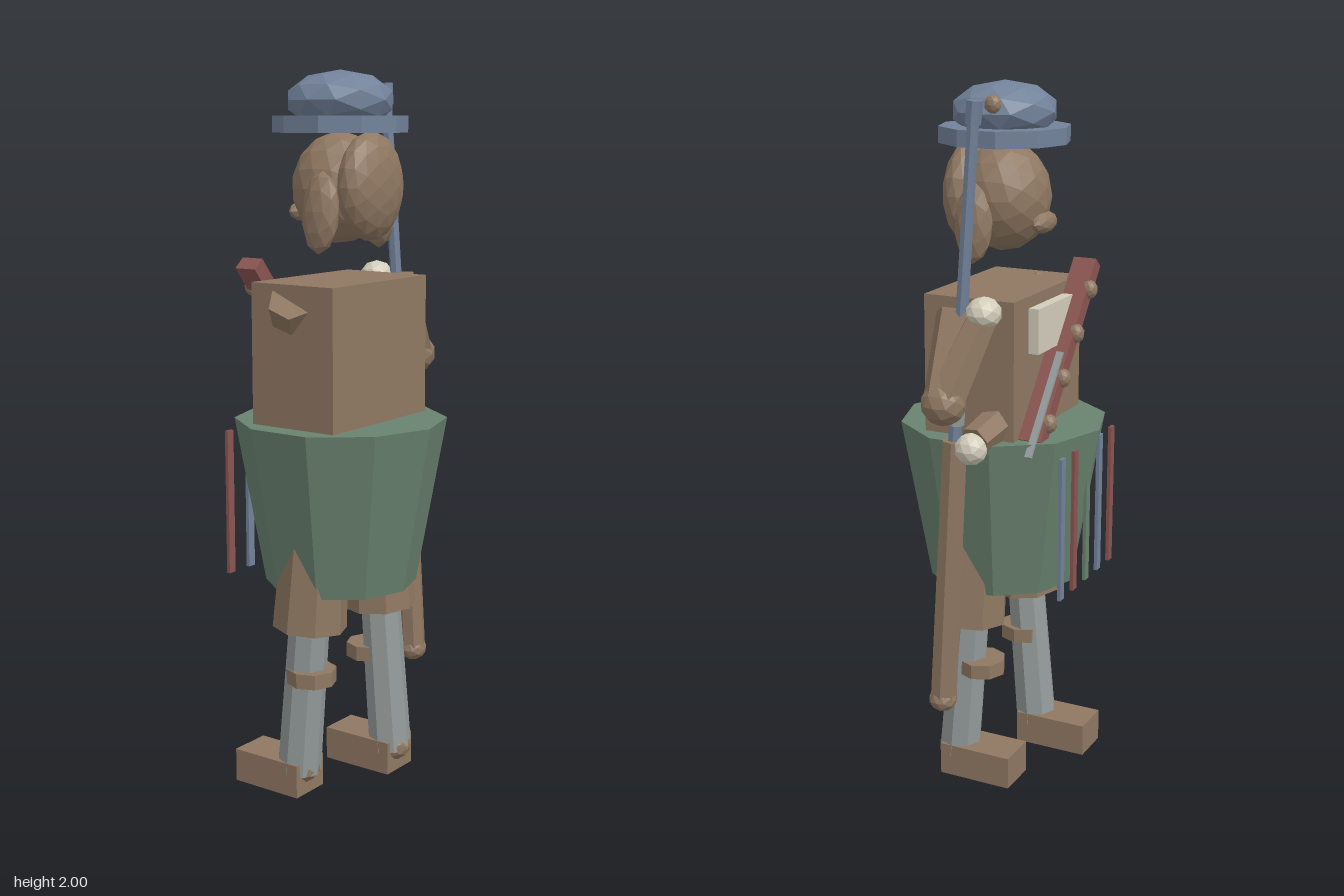
import * as THREE from 'three';

const mat = (name, color) => {
  const m = new THREE.MeshStandardMaterial({ color, flatShading: true });
  m.name = name;
  return m;
};

export function createModel() {
  const brown = mat('brown cloth', 0x8f7862);
  const green = mat('green kilt', 0x69826f);
  const blue = mat('slate blue', 0x72829a);
  const grey = mat('grey stocking', 0x949b9a);
  const cream = mat('cream', 0xd2ccba);
  const red = mat('dark red', 0x8a5551);

  const CX = -0.083; // body axis
  const model = new THREE.Group();
  model.name = 'pipeSoldier';

  const add = (name, geo, material, x = 0, y = 0, z = 0) => {
    const m = new THREE.Mesh(geo, material);
    m.name = name;
    m.position.set(x, y, z);
    model.add(m);
    return m;
  };
  const box = (name, material, w, h, d, x, y, z) =>
    add(name, new THREE.BoxGeometry(w, h, d), material, x, y, z);
  const ball = (name, material, rx, ry, rz, x, y, z, detail = 1) => {
    const m = add(name, new THREE.IcosahedronGeometry(1, detail), material, x, y, z);
    m.scale.set(rx, ry, rz);
    return m;
  };
  // Tapered rod from point a to point b
  const rod = (name, material, a, b, ra, rb, sides = 7) => {
    const A = new THREE.Vector3(...a), B = new THREE.Vector3(...b);
    const dir = B.clone().sub(A);
    const m = add(name, new THREE.CylinderGeometry(rb, ra, dir.length(), sides), material);
    m.position.copy(A).add(B).multiplyScalar(0.5);
    m.quaternion.setFromUnitVectors(new THREE.Vector3(0, 1, 0), dir.normalize());
    return m;
  };

  // Cap and head
  add('capBand', new THREE.CylinderGeometry(0.182, 0.182, 0.045, 10), blue, CX, 1.858, 0);
  ball('capCrown', blue, 0.147, 0.08, 0.147, CX, 1.92, 0);
  ball('capBobble', brown, 0.02, 0.026, 0.024, 0.045, 1.945, -0.028);
  ball('head', brown, 0.133, 0.15, 0.13, CX, 1.69, 0, 2);
  ball('backHair', brown, 0.125, 0.145, 0.065, CX, 1.695, 0.1, 2);
  ball('muzzle', brown, 0.065, 0.03, 0.026, CX, 1.625, -0.12);
  for (const s of [-1, 1]) {
    const ear = ball('ear', brown, 0.036, 0.11, 0.056, CX + s * 0.128, 1.63, 0.03);
    ear.rotation.z = s * 0.1;
  }

  // Torso and kilt
  box('torso', brown, 0.436, 0.425, 0.27, CX, 1.2325, 0);
  add('kilt', new THREE.CylinderGeometry(0.295, 0.212, 0.465, 10), green, CX, 0.8275, 0);
  [blue, red, green, blue, red].forEach((m, i) =>
    box('kiltRibbon', m, 0.025, 0.41, 0.01, 0.09 - i * 0.0863, 0.815, -0.26));

  // Legs, mid-stride
  const leg = (x, topZ, ankleZ, footZ) => {
    rod('thigh', brown, [x, 0.49, topZ], [x - (x - CX) * 0.1, 0.88, 0.015], 0.104, 0.088, 8);
    rod('shin', grey, [x, 0.06, ankleZ], [x, 0.52, topZ], 0.062, 0.057, 8);
    ball('ankle', brown, 0.054, 0.045, 0.05, x, 0.07, ankleZ + 0.012);
    add('garter', new THREE.CylinderGeometry(0.07, 0.07, 0.042, 8), brown, x, 0.35, 0);
    box('foot', brown, 0.123, 0.095, 0.22, x, 0.0475, footZ);
  };
  leg(0.06, 0.035, 0.073, -0.005);
  leg(-0.223, -0.005, -0.045, -0.118);

  // Arms: one raised to the barrel, one folded across the chest
  const arm = (shoulder, elbow, hand) => {
    rod('upperArm', brown, shoulder, elbow, 0.068, 0.058, 6);
    ball('elbow', brown, 0.06, 0.06, 0.062, ...elbow);
    rod('forearm', brown, elbow, hand, 0.056, 0.044, 6);
  };
  arm([0.18, 1.41, 0], [0.298, 1.195, -0.01], [0.205, 1.41, -0.075]);
  ball('upperHand', cream, 0.052, 0.045, 0.048, 0.203, 1.425, -0.08);
  arm([-0.295, 1.405, 0], [-0.1, 1.16, -0.105], [0.22, 1.075, -0.06]);
  ball('lowerHand', cream, 0.045, 0.045, 0.045, 0.235, 1.06, -0.058);

  // Long gun
  rod('gunStock', brown, [0.235, 0.31, 0.034], [0.228, 1.075, -0.004], 0.038, 0.034, 7);
  ball('stockButt', brown, 0.042, 0.036, 0.04, 0.235, 0.308, 0.034);
  rod('gunBarrel', blue, [0.228, 1.05, -0.002], [0.213, 1.93, -0.056], 0.018, 0.016, 7);
  rod('gunMuzzle', blue, [0.2135, 1.91, -0.055], [0.2125, 1.97, -0.06], 0.021, 0.023, 7);
  rod('gunCollar', grey, [0.2275, 1.12, -0.006], [0.2265, 1.165, -0.009], 0.025, 0.025, 7);

  // Chest panel and diagonal strap with studs
  box('chestPanel', cream, 0.23, 0.125, 0.03, -0.07, 1.35, -0.15);
  const angle = Math.atan2(-0.44, 0.36);
  const strap = box('chestStrap', red, 0.57, 0.042, 0.068, -0.09, 1.27, -0.168);
  strap.rotation.z = angle;
  const edge = box('strapEdge', grey, 0.32, 0.008, 0.02, 0.047, 1.152, -0.185);
  edge.rotation.z = angle;
  for (let i = 0; i < 4; i++) {
    const x = -0.215 + i * 0.088;
    ball('strapStud', brown, 0.024, 0.028, 0.024, x, 1.27 - (x + 0.09) * 1.222, -0.2);
  }
  ball('coatButton', brown, 0.014, 0.014, 0.014, -0.1, 1.085, -0.14);

  return model;
}
